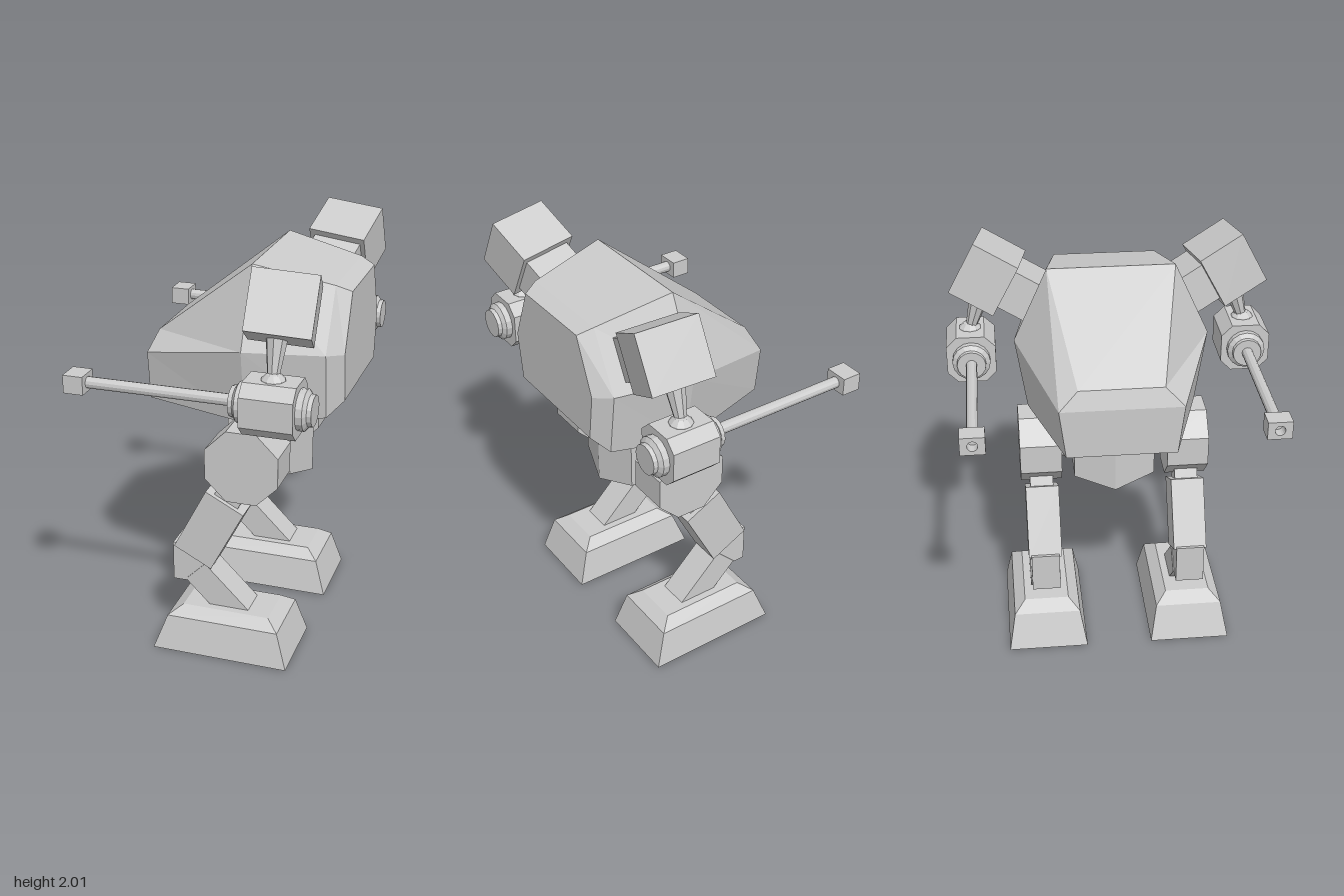
import * as THREE from 'three';

const mat = new THREE.MeshStandardMaterial({ color: 0xcccccc, flatShading: true });

function add(parent, name, geo, x = 0, y = 0, z = 0, rz = 0) {
  const m = new THREE.Mesh(geo, mat);
  m.name = name;
  m.position.set(x, y, z);
  m.rotation.z = rz;
  parent.add(m);
  return m;
}

// Skin a list of equal-length rings (counter-clockwise about the axis) and cap both ends
function loft(rings) {
  const n = rings[0].length, last = (rings.length - 1) * n, idx = [];
  for (let r = 0; r < rings.length - 1; r++)
    for (let i = 0; i < n; i++) {
      const a = r * n + i, b = r * n + (i + 1) % n;
      idx.push(a, b, b + n, a, b + n, a + n);
    }
  for (let i = 1; i < n - 1; i++) idx.push(0, i + 1, i, last, last + i, last + i + 1);
  let g = new THREE.BufferGeometry();
  g.setAttribute('position', new THREE.Float32BufferAttribute(rings.flat(2), 3));
  g.setIndex(idx);
  g = g.toNonIndexed();
  g.computeVertexNormals();
  return g;
}

// Prism from a polygon, centred along its depth
function prism(pts, depth, holeRadius = 0) {
  const s = new THREE.Shape(pts.map(p => new THREE.Vector2(...p)));
  if (holeRadius) s.holes.push(new THREE.Path().absarc(0, 0, holeRadius, 0, Math.PI * 2, true));
  return new THREE.ExtrudeGeometry(s, { depth, bevelEnabled: false, curveSegments: 8 }).translate(0, 0, -depth / 2);
}

// Square with cut corners
const cutSquare = (h, c) => [[h, c - h], [h, h - c], [h - c, h], [c - h, h], [-h, h - c], [-h, c - h], [c - h, -h], [h - c, -h]];

function buildHull() {
  // each section: [x, y, half width] at the top, the widest line and the bottom
  const sections = [
    [[-0.34, 1.53, 0.2], [-0.37, 1.44, 0.29], [-0.37, 1.2, 0.26]],
    [[0.15, 1.92, 0.305], [0.15, 1.56, 0.47], [0.15, 1.2, 0.415]],
    [[0.52, 1.84, 0.25], [0.52, 1.56, 0.4], [0.52, 1.25, 0.36]],
    [[0.59, 1.81, 0.22], [0.59, 1.55, 0.33], [0.59, 1.32, 0.3]],
  ];
  const at = ([x, y, w], s) => [x, y, w * s];
  return loft(sections.map(([t, m, b]) => [at(m, -1), at(t, -1), at(t, 1), at(m, 1), at(b, 1), at(b, -1)]));
}

function buildPelvis() {
  const plan = [[0.37, 0], [0.31, -0.2], [0, -0.2], [-0.06, 0], [0, 0.2], [0.31, 0.2]];
  return loft([
    plan.map(([x, z]) => [x, z ? 0.865 : 0.81, z]),
    plan.map(([x, z]) => [x, 1.155, z]),
  ]);
}

function buildLeg(s) {
  const leg = new THREE.Group();
  leg.name = s > 0 ? 'legPlusZ' : 'legMinusZ';
  const z = 0.365 * s;
  add(leg, 'hipAxle', new THREE.CylinderGeometry(0.09, 0.09, 0.16, 12).rotateX(Math.PI / 2), 0.15, 1, 0.24 * s);
  add(leg, 'hip', prism(cutSquare(0.178, 0.104), 0.205), 0.15, 0.988, z);
  add(leg, 'thighNeck', new THREE.BoxGeometry(0.13, 0.22, 0.115), 0.08, 0.82, z, -0.48);
  add(leg, 'thigh', new THREE.BoxGeometry(0.21, 0.355, 0.165), -0.02, 0.628, z, -0.48);
  add(leg, 'kneeGuard', prism([[-0.205, 0.33], [-0.14, 0.33], [-0.03, 0.435], [-0.19, 0.53], [-0.205, 0.53]], 0.14), 0, 0, z);
  add(leg, 'shin', new THREE.BoxGeometry(0.14, 0.32, 0.15), 0.023, 0.277, z, Math.PI / 4);
  // foot: [y, x min, x max, half width]
  const levels = [[0, -0.27, 0.405, 0.2], [0.175, -0.205, 0.35, 0.167], [0.22, -0.14, 0.29, 0.112]];
  add(leg, 'foot', loft(levels.map(([y, a, b, w]) => [[b, y, w], [b, y, -w], [a, y, -w], [a, y, w]])), 0, 0, z);
  return leg;
}

function buildArm(s) {
  const arm = new THREE.Group();
  arm.name = s > 0 ? 'armPlusZ' : 'armMinusZ';
  // tilted frame shared by the shoulder block and its mount
  const along = new THREE.Vector3(0.985, -0.086, -0.156 * s).normalize();
  const up = new THREE.Vector3(0, 0.879, -0.476 * s).normalize();
  const tilt = new THREE.Matrix4().makeBasis(along, up, along.clone().cross(up));
  const block = add(arm, 'shoulder', new THREE.BoxGeometry(0.29, 0.272, 0.24), 0.376, 1.825, 0.58 * s);
  const mount = add(arm, 'shoulderMount', new THREE.BoxGeometry(0.24, 0.2, 0.22), 0.345, 1.74, 0.415 * s);
  for (const m of [block, mount]) m.quaternion.setFromRotationMatrix(tilt);

  // hanger and ball joint
  const z = 0.68 * s;
  const hanger = add(arm, 'hanger', new THREE.CylinderGeometry(0.052, 0.025, 0.2, 8), 0.362, 1.63, 0.648 * s);
  hanger.rotation.x = -0.3 * s;
  add(arm, 'gunJoint', new THREE.SphereGeometry(0.062, 10, 6), 0.365, 1.51, z);

  // gun
  const y = 1.417;
  add(arm, 'gunBody', prism(cutSquare(0.12, 0.052), 0.24).rotateY(Math.PI / 2), 0.365, y, z);
  const drum = [[0, -0.185], [0.07, -0.185], [0.072, -0.165], [0.093, -0.15], [0.093, 0.15], [0.072, 0.165], [0.07, 0.185], [0, 0.185]];
  add(arm, 'gunDrum', new THREE.LatheGeometry(drum.map(p => new THREE.Vector2(...p)), 16), 0.365, y, z, -Math.PI / 2);
  add(arm, 'barrel', new THREE.CylinderGeometry(0.027, 0.027, 0.74, 12), -0.17, y + 0.003, z, Math.PI / 2);
  const face = [[-0.057, -0.043], [0.057, -0.043], [0.057, 0.043], [-0.057, 0.043]];
  add(arm, 'muzzle', prism(face, 0.095, 0.024).rotateY(Math.PI / 2), -0.547, y + 0.003, z);
  return arm;
}

export function createModel() {
  const model = new THREE.Group();
  model.name = 'walker';
  add(model, 'hull', buildHull());
  add(model, 'waist', new THREE.CylinderGeometry(0.18, 0.18, 0.12, 16), 0.15, 1.18, 0);
  add(model, 'pelvis', buildPelvis());
  for (const s of [1, -1]) model.add(buildLeg(s), buildArm(s));
  return model;
}
